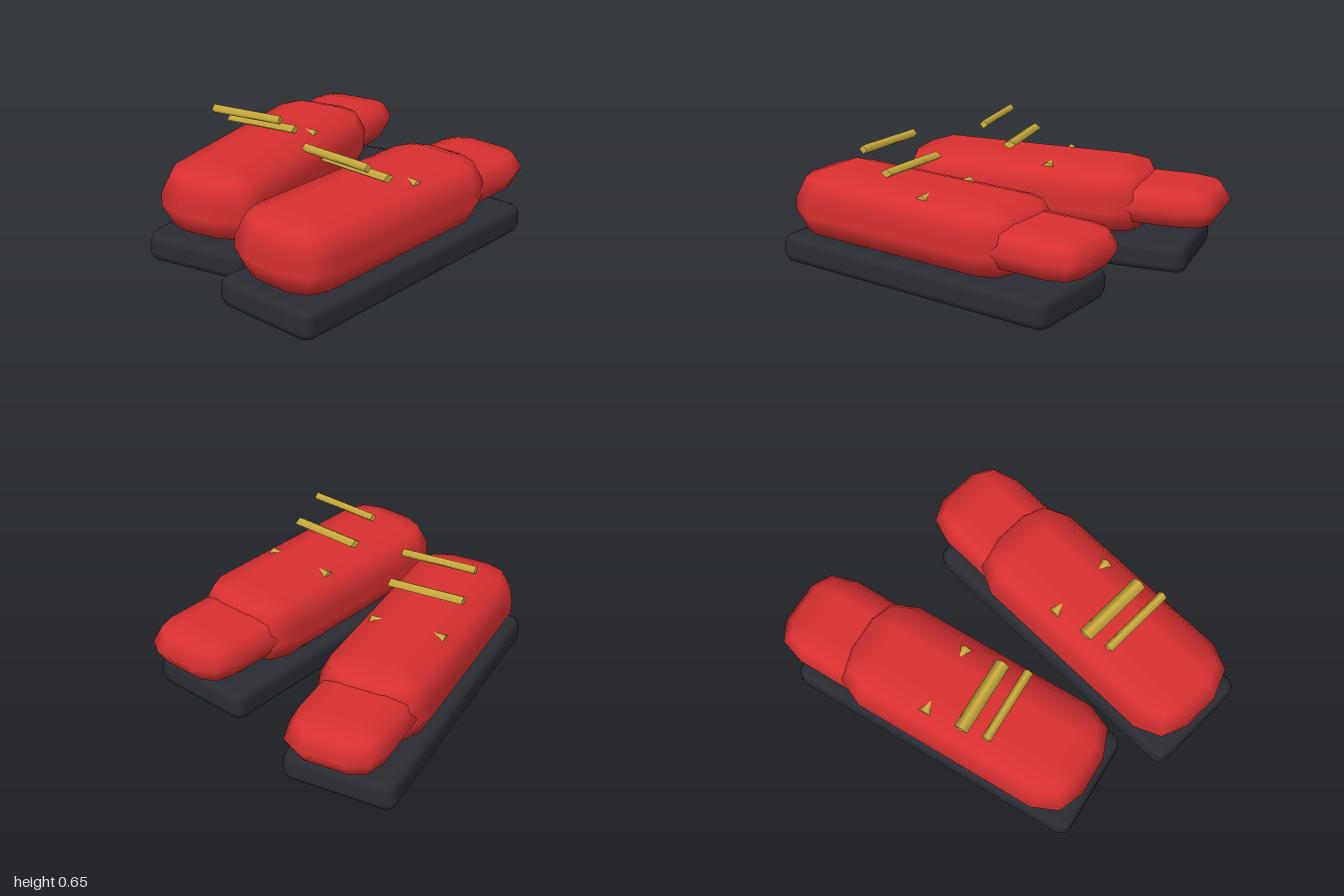
import * as THREE from 'three';

const red = new THREE.MeshStandardMaterial({ color: 0xd93030 });
red.name = 'red upper';
const dark = new THREE.MeshStandardMaterial({ color: 0x2b2b33 });
dark.name = 'dark sole';
const gold = new THREE.MeshStandardMaterial({ color: 0xd4b440 });
gold.name = 'gold lace';

// Box of half sizes h whose edges are rounded in two steps with radii r per axis
function softBox(h, r) {
  const pos = [], nor = [], idx = [], cols = 12;
  const rows = [[-1, -90], [-1, -45], [-1, 0], [1, 0], [1, 45], [1, 90]];
  for (const [sy, lat] of rows) {
    const p = THREE.MathUtils.degToRad(lat);
    for (let q = 0; q < 4; q++) {
      const sx = q < 2 ? 1 : -1, sz = q === 0 || q === 3 ? 1 : -1;
      for (let k = 0; k < 3; k++) {
        const a = (q + k / 2) * Math.PI / 2;
        const d = [Math.cos(p) * Math.sin(a), Math.sin(p), Math.cos(p) * Math.cos(a)];
        [sx, sy, sz].forEach((s, i) => pos.push(s * (h[i] - r[i]) + d[i] * r[i]));
        nor.push(...new THREE.Vector3(d[0] / r[0], d[1] / r[1], d[2] / r[2]).normalize().toArray());
      }
    }
  }
  // Side bands
  for (let i = 0; i < rows.length - 1; i++) {
    for (let j = 0; j < cols; j++) {
      const a = i * cols + j, b = i * cols + (j + 1) % cols;
      idx.push(a, b, b + cols, a, b + cols, a + cols);
    }
  }
  // Flat bottom and top
  const top = (rows.length - 1) * cols;
  for (let j = 1; j < cols - 1; j++) {
    idx.push(0, j + 1, j, top, top + j, top + j + 1);
  }
  const g = new THREE.BufferGeometry();
  g.setAttribute('position', new THREE.Float32BufferAttribute(pos, 3));
  g.setAttribute('normal', new THREE.Float32BufferAttribute(nor, 3));
  g.setIndex(idx);
  return g;
}

function part(parent, name, geometry, material, x, y, z) {
  const mesh = new THREE.Mesh(geometry, material);
  mesh.name = name;
  mesh.position.set(x, y, z);
  parent.add(mesh);
}

// One shoe, toe towards +z, centred on its sole
function makeShoe(name) {
  const shoe = new THREE.Group();
  shoe.name = name;
  part(shoe, 'sole', softBox([0.273, 0.073, 0.767], [0.055, 0.045, 0.05]), dark, 0, 0.073, 0);
  part(shoe, 'upper', softBox([0.273, 0.178, 0.65], [0.185, 0.147, 0.175]), red, 0, 0.3, 0.099);
  part(shoe, 'heel', softBox([0.24, 0.108, 0.32], [0.135, 0.108, 0.18]), red, 0, 0.297, -0.576);
  // Diamond-section lace bars; the lowest is mostly sunk into the upper
  const laces = [[0.625, 0.29, 0.022], [0.535, 0.154, 0.035], [0.445, -0.046, 0.033]];
  laces.forEach(([y, z, halfDepth], i) => {
    const bar = new THREE.CylinderGeometry(1, 1, 0.366, 4);
    bar.rotateZ(Math.PI / 2);
    bar.scale(1, 0.021, halfDepth);
    part(shoe, 'lace' + (i + 1), bar, gold, 0, y, z);
  });
  return shoe;
}

export function createModel() {
  const model = new THREE.Group();
  model.name = 'pairOfShoes';
  const rightShoe = makeShoe('rightShoe');
  rightShoe.position.set(-0.437, 0, -0.104);
  const leftShoe = makeShoe('leftShoe');
  leftShoe.position.set(0.27, 0, 0.197);
  leftShoe.rotation.y = -0.24;
  model.add(rightShoe, leftShoe);
  return model;
}
